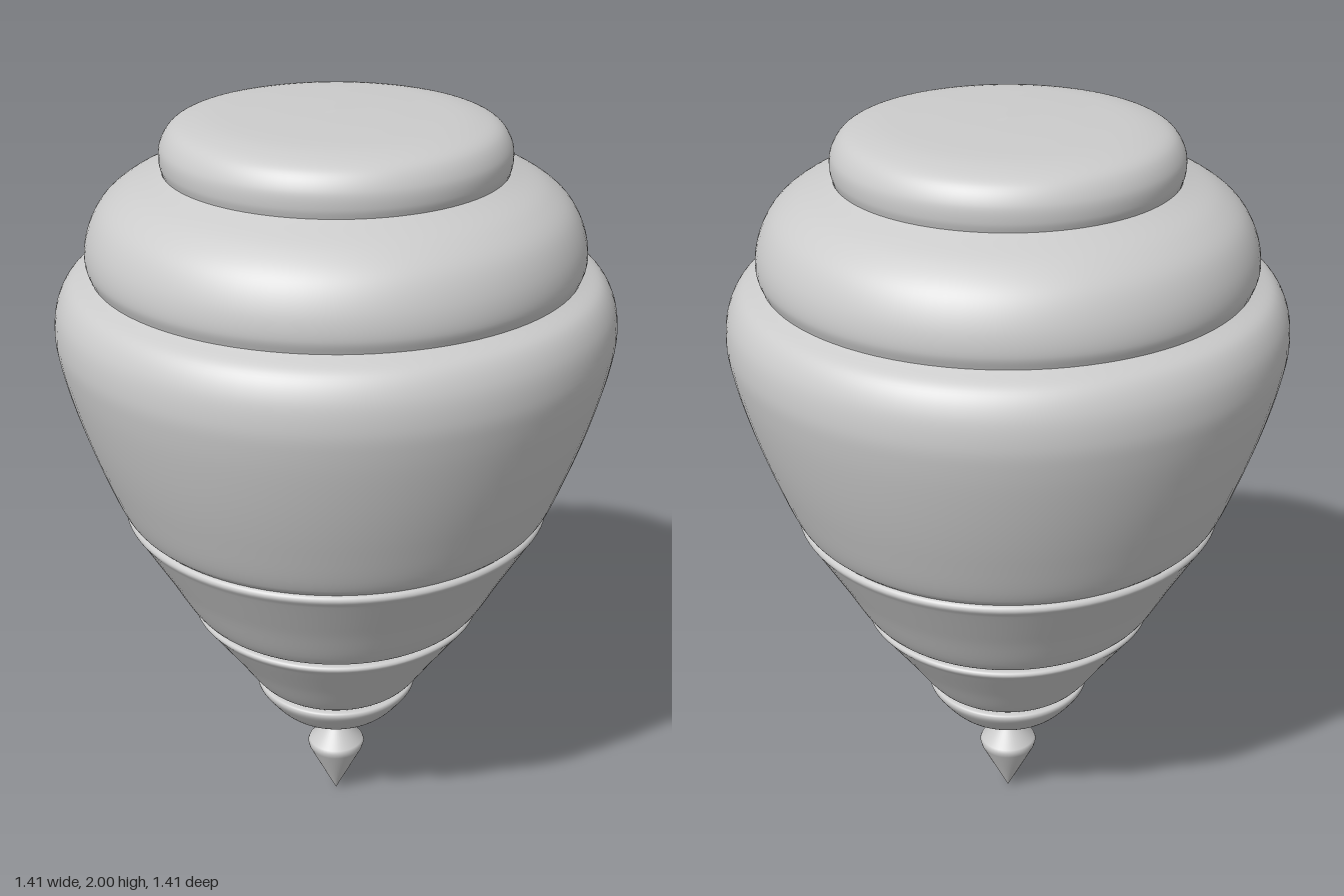
import * as THREE from 'three';

const material = new THREE.MeshStandardMaterial({ color: 0xcccccc, side: THREE.DoubleSide });

// Turns a profile of [radius, height] points, listed from bottom to top, about the y axis.
function turned(name, profile, { smooth = true, segments = 96 } = {}) {
  let points = profile.map(([r, y]) => new THREE.Vector2(r, y));
  if (smooth) {
    const curve = new THREE.CatmullRomCurve3(
      profile.map(([r, y]) => new THREE.Vector3(r, y, 0)), false, 'centripetal');
    points = curve.getPoints(profile.length * 6).map(p => new THREE.Vector2(Math.max(p.x, 0), p.y));
  }
  const mesh = new THREE.Mesh(new THREE.LatheGeometry(points, segments), material);
  mesh.name = name;
  return mesh;
}

export function createModel() {
  const top = new THREE.Group();
  top.name = 'spinningTop';

  // Pointed metal tip with a narrow neck
  top.add(turned('tip', [[0, 0], [0.076, 0.155], [0.08, 0.17], [0.076, 0.18], [0.028, 0.232],
    [0.028, 0.24], [0.065, 0.285]], { smooth: false, segments: 48 }));

  // Rounded bowl that holds the tip
  top.add(turned('tipBowl', [[0, 0.28], [0.06, 0.28], [0.11, 0.287], [0.16, 0.315], [0.2, 0.36],
    [0.22, 0.392], [0.218, 0.403], [0.2, 0.408]]));

  // Two tapered tiers, each with a small ledge on top
  top.add(turned('lowerTier', [[0.2, 0.405], [0.225, 0.425], [0.3, 0.53], [0.372, 0.63],
    [0.387, 0.652], [0.383, 0.66], [0.365, 0.663]]));
  top.add(turned('middleTier', [[0.365, 0.66], [0.395, 0.68], [0.475, 0.815], [0.545, 0.935],
    [0.558, 0.957], [0.555, 0.966], [0.545, 0.972]]));

  // Wide main body with a rounded shoulder
  top.add(turned('body', [[0.545, 0.968], [0.565, 0.99], [0.618, 1.12], [0.667, 1.27], [0.699, 1.4],
    [0.707, 1.47], [0.696, 1.54], [0.665, 1.59], [0.61, 1.618]]));

  // Bulging upper ring
  top.add(turned('upperRing', [[0.61, 1.612], [0.622, 1.65], [0.614, 1.71], [0.58, 1.775],
    [0.52, 1.823], [0.425, 1.863]]));

  // Softly domed cap
  top.add(turned('cap', [[0.423, 1.858], [0.43, 1.885], [0.427, 1.925], [0.4, 1.965], [0.34, 1.986],
    [0.2, 1.996], [0, 2]]));

  return top;
}
